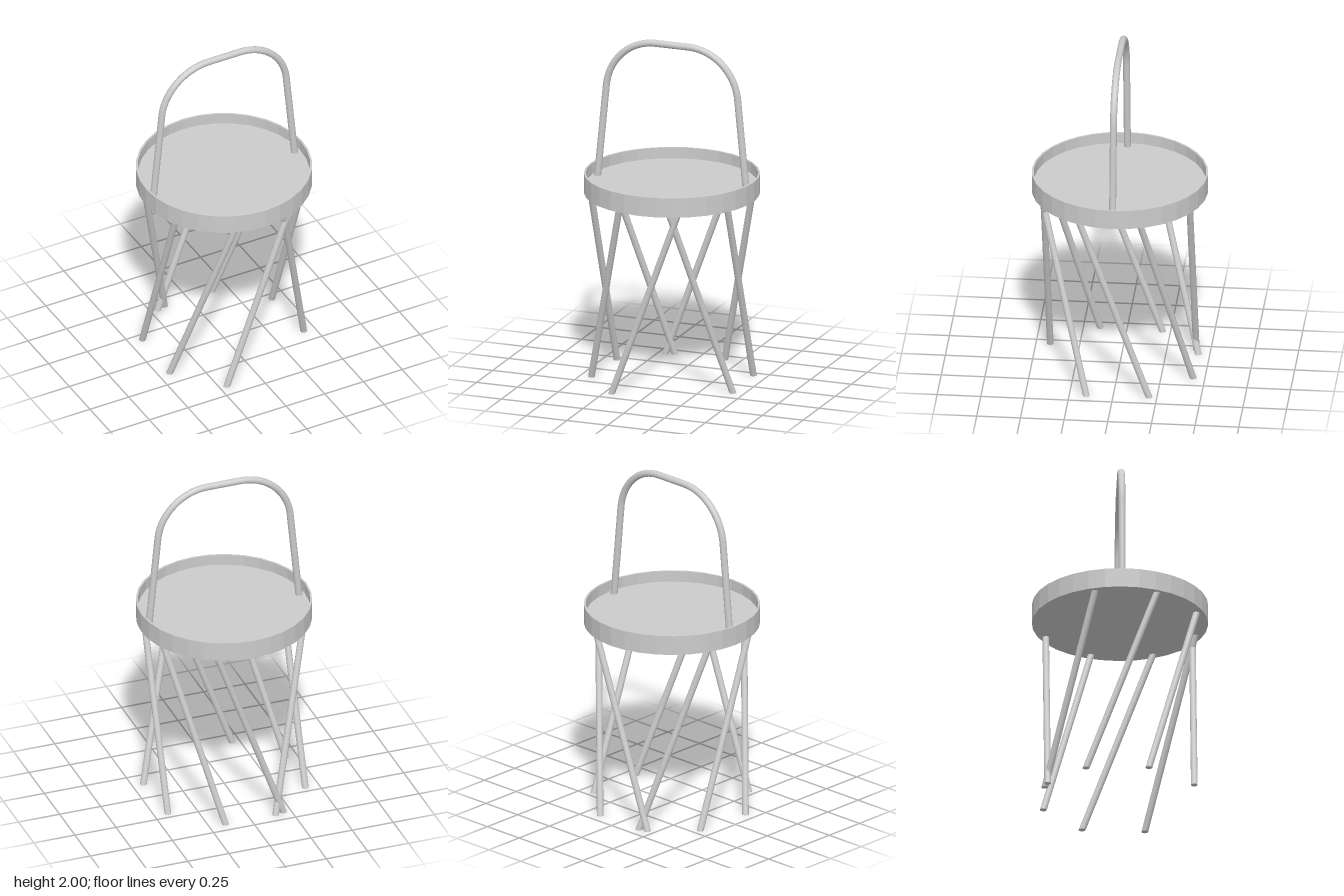
import * as THREE from 'three';

const material = new THREE.MeshStandardMaterial({ color: 0xcccccc });
const trayMaterial = new THREE.MeshStandardMaterial({ color: 0xcccccc, flatShading: true });

const TRAY_BOTTOM = 1.105;
const LEG_RADIUS = 0.019;

// Slanted round bar whose ends are cut level, from foot [x, z] to top [x, z]
function makeLeg(foot, top) {
  const a = new THREE.Vector3(foot[0], 0, foot[1]);
  const b = new THREE.Vector3(top[0], TRAY_BOTTOM + 0.005, top[1]);
  const axis = b.clone().sub(a).normalize();
  const turn = new THREE.Quaternion().setFromUnitVectors(new THREE.Vector3(0, 1, 0), axis);
  const geometry = new THREE.CylinderGeometry(LEG_RADIUS, LEG_RADIUS, 1, 16);
  const pos = geometry.attributes.position;
  const normal = geometry.attributes.normal;
  const p = new THREE.Vector3();
  const n = new THREE.Vector3();
  for (let i = 0; i < pos.count; i++) {
    const end = pos.getY(i) < 0 ? a : b;
    p.set(pos.getX(i), 0, pos.getZ(i)).applyQuaternion(turn);
    // slide along the bar until the end is level
    p.addScaledVector(axis, -p.y / axis.y).add(end);
    pos.setXYZ(i, p.x, p.y, p.z);
    n.fromBufferAttribute(normal, i);
    if (Math.abs(n.y) < 0.5) {
      n.applyQuaternion(turn);
      normal.setXYZ(i, n.x, n.y, n.z);
    }
  }
  const leg = new THREE.Mesh(geometry, material);
  leg.name = 'leg';
  return leg;
}

// Shallow round tray with a thin raised rim
function makeTray() {
  const profile = [
    [0, TRAY_BOTTOM], [0.503, TRAY_BOTTOM], [0.503, 1.22],
    [0.492, 1.22], [0.492, 1.155], [0, 1.155],
  ].map(([x, y]) => new THREE.Vector2(x, y));
  const tray = new THREE.Mesh(new THREE.LatheGeometry(profile, 32), trayMaterial);
  tray.name = 'tray';
  return tray;
}

// Bent tube: two leaning uprights, rounded corners, short straight grip
function makeHandle() {
  const v = (x, y) => new THREE.Vector3(x, y, 0);
  const path = new THREE.CurvePath();
  path.add(new THREE.LineCurve3(v(-0.456, 1.15), v(-0.402, 1.7)));
  path.add(new THREE.CubicBezierCurve3(v(-0.402, 1.7), v(-0.387, 1.855), v(-0.26, 1.98), v(-0.1, 1.98)));
  path.add(new THREE.LineCurve3(v(-0.1, 1.98), v(0.1, 1.98)));
  path.add(new THREE.CubicBezierCurve3(v(0.1, 1.98), v(0.26, 1.98), v(0.387, 1.855), v(0.402, 1.7)));
  path.add(new THREE.LineCurve3(v(0.402, 1.7), v(0.456, 1.15)));
  const handle = new THREE.Mesh(new THREE.TubeGeometry(path, 96, 0.02, 16, false), material);
  handle.name = 'handle';
  return handle;
}

export function createModel() {
  const model = new THREE.Group();
  model.name = 'trayTable';
  model.add(makeTray(), makeHandle());

  const legs = new THREE.Group();
  legs.name = 'legs';
  for (const s of [-1, 1]) {
    // side legs lean forward
    legs.add(makeLeg([s * 0.418, -0.205], [s * 0.418, 0.2]));
    // front and back legs lean to the left
    legs.add(makeLeg([-0.205, s * 0.418], [0.2, s * 0.418]));
    // front corner legs lean inward, back corner legs lean outward
    legs.add(makeLeg([s * 0.433, 0.153], [s * 0.153, 0.433]));
    legs.add(makeLeg([s * 0.153, -0.433], [s * 0.433, -0.153]));
  }
  model.add(legs);
  return model;
}
